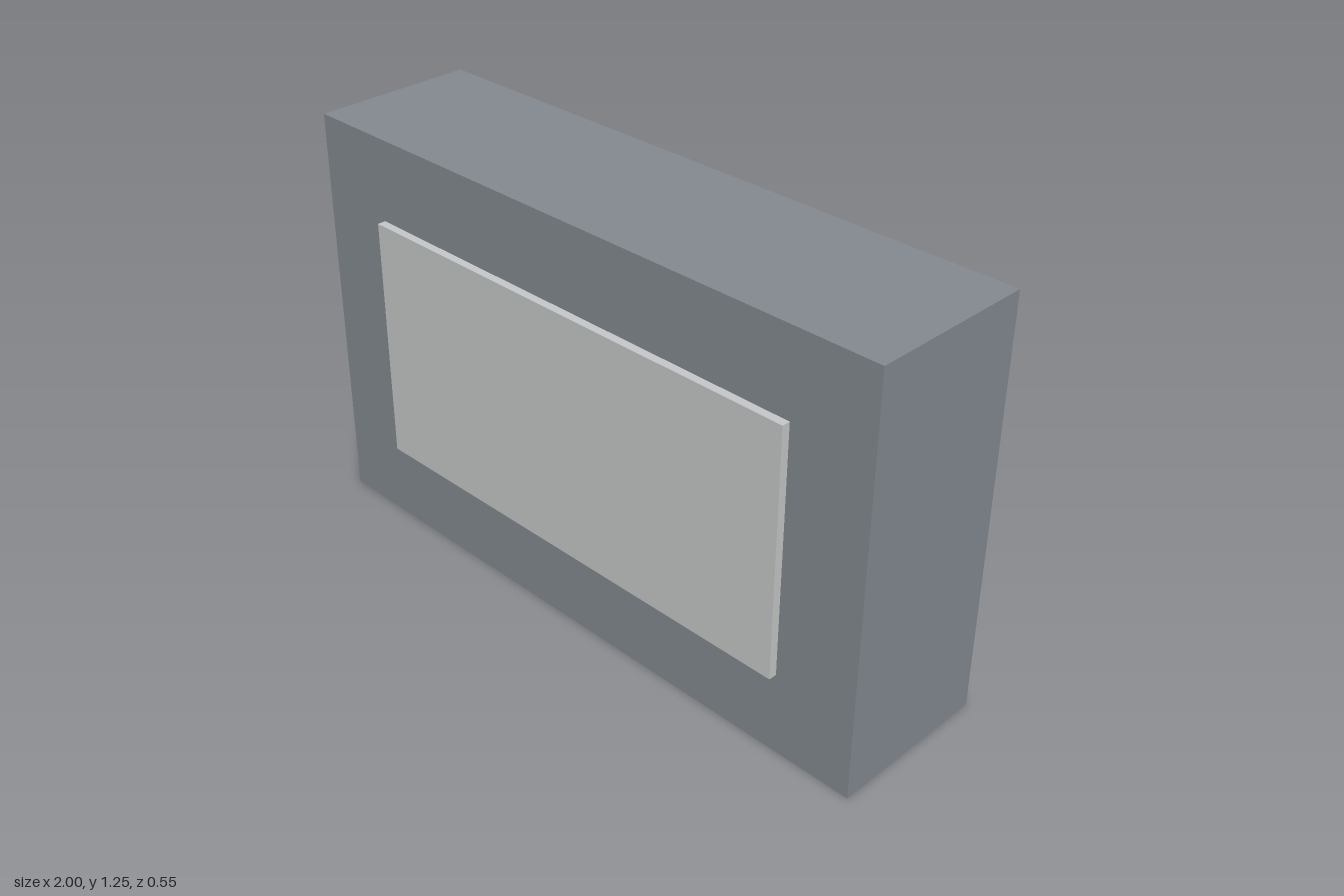
import * as THREE from 'three';

const mat = (name, color) => {
  const m = new THREE.MeshStandardMaterial({ color });
  m.name = name;
  return m;
};

export function createModel() {
  const group = new THREE.Group();
  const bodyGrey = mat('body grey', 0x848a91);
  const paleGrey = mat('pale grey', 0xc6c9c9);
  const gold = mat('gold', 0xc9943a);

  const box = (name, material, [w, h, d], [x, y, z]) => {
    const mesh = new THREE.Mesh(new THREE.BoxGeometry(w, h, d), material);
    mesh.name = name;
    mesh.position.set(x, y, z);
    group.add(mesh);
  };

  // Main block with a raised panel on its front
  box('body', bodyGrey, [2, 1.25, 0.5], [0, 0.625, 0]);
  box('frontPanel', paleGrey, [1.5, 0.75, 0.025], [0, 0.625, 0.2625]);

  // Four contact pads near the corners of the back
  for (const [side, x] of [['Left', 0.75], ['Right', -0.75]]) {
    for (const [level, y] of [['upper', 1], ['lower', 0.25]]) {
      box(`${level}${side}Pad`, gold, [0.25, 0.25, 0.025], [x, y, -0.2625]);
    }
  }
  return group;
}
